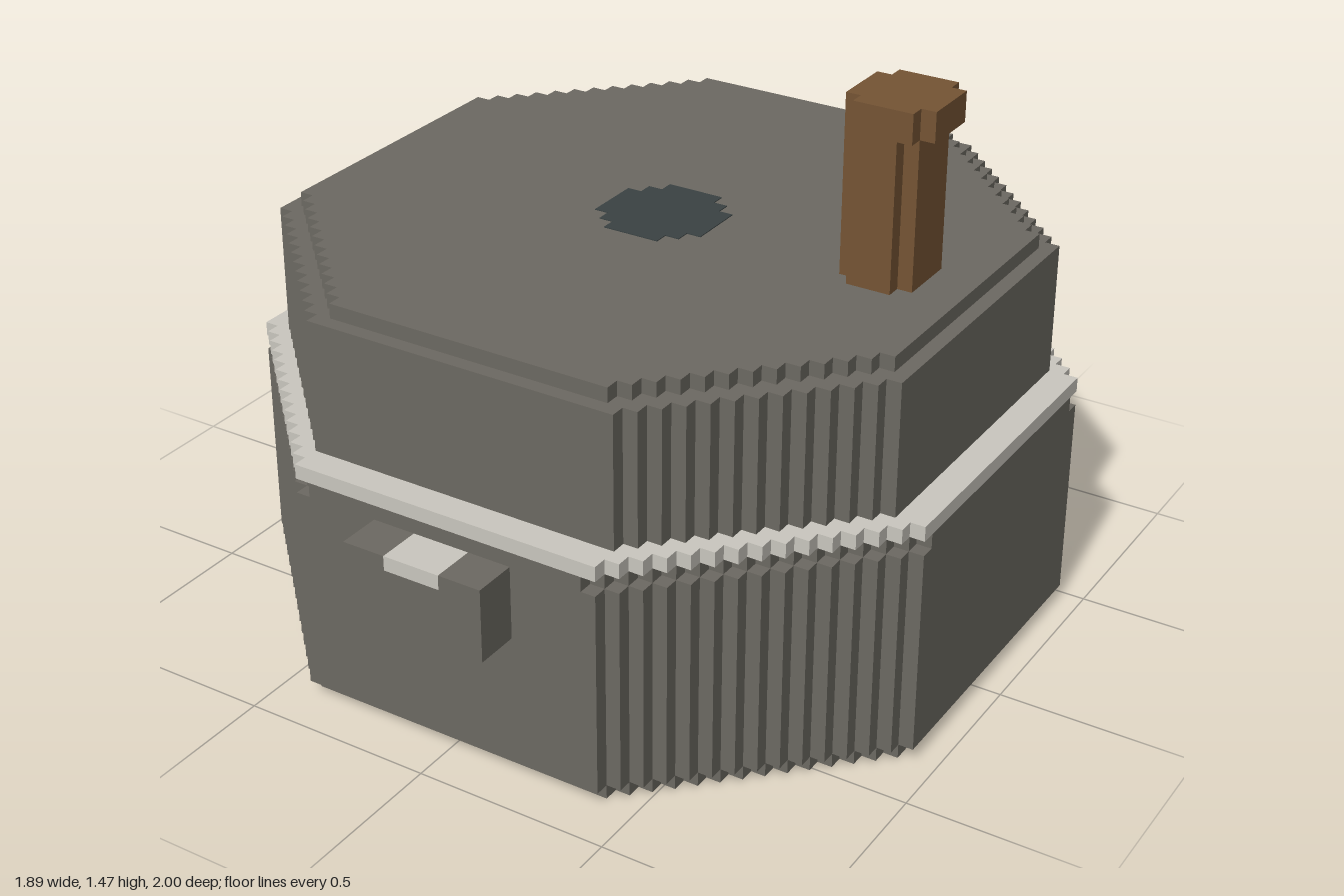
import * as THREE from 'three';

const U = 2 / 53;          // one block
const CZ = -1 + 25 * U;    // z of the body's axis

const flat = (name, color) => {
  const m = new THREE.MeshStandardMaterial({ color });
  m.name = name;
  return m;
};

// Octagon with stepped diagonals: half = half width, side = half length of a straight side (in blocks)
function steppedOctagon(half, side) {
  const quarter = [];
  for (let i = 0; i < half - side; i++) {
    quarter.push([half - i, side + i], [half - i - 1, side + i]);
  }
  quarter.push([side, half]);
  const points = [];
  for (let q = 0; q < 4; q++) {
    for (const [x, y] of quarter) {
      let p = [x, y];
      for (let r = 0; r < q; r++) p = [-p[1], p[0]];
      points.push(new THREE.Vector2(p[0] * U, p[1] * U));
    }
  }
  return new THREE.Shape(points);
}

export function createModel() {
  const group = new THREE.Group();
  const stone = flat('dark stone', 0x6c6962);
  const trim = flat('pale trim', 0xcac7bf);
  const wood = flat('brown wood', 0x755434);
  const slate = flat('dark slate', 0x3a4243);

  const add = (name, geometry, material, x, y, z) => {
    const mesh = new THREE.Mesh(geometry, material);
    mesh.name = name;
    mesh.position.set(x, y, z);
    group.add(mesh);
  };

  // Horizontal octagonal slab from block height y0 to y1
  const slab = (name, half, side, y0, y1, material, cx = 0) => {
    const g = new THREE.ExtrudeGeometry(steppedOctagon(half, side), {
      depth: (y1 - y0) * U, bevelEnabled: false,
    });
    g.rotateX(-Math.PI / 2);
    add(name, g, material, cx * U, y0 * U, CZ);
  };

  // Box between block coordinates, z measured from the body's axis
  const box = (name, x0, x1, y0, y1, z0, z1, material) => {
    const g = new THREE.BoxGeometry((x1 - x0) * U, (y1 - y0) * U, (z1 - z0) * U);
    add(name, g, material, (x0 + x1) / 2 * U, (y0 + y1) / 2 * U, CZ + (z0 + z1) / 2 * U);
  };

  // Lower body
  slab('baseFoot', 24, 11, 0, 1, stone);
  slab('lowerBody', 25, 11, 1, 15, stone);
  slab('rimRecess', 25, 10, 15, 16, stone);
  slab('rim', 25, 11, 16, 17, trim);

  // Upper body and lid
  slab('upperBody', 23, 11, 17, 26, stone);
  slab('lid', 22, 10, 26, 27, stone);
  slab('lidCentre', 4, 2, 26.95, 27.06, slate);

  // Handle post with overhanging cap
  box('postCore', 14, 19, 27, 37, -2, 2, wood);
  box('postSides', 15, 18, 27, 37, -3, 3, wood);
  slab('postCap', 3, 2, 37, 39, wood, 17);

  // Front latch block with pale inset
  box('latchBody', -5, 5, 10, 14, 25, 28, stone);
  box('latchRight', -5, -2, 14, 15, 25, 28, stone);
  box('latchLeft', 2, 5, 14, 15, 25, 28, stone);
  box('latchInset', -2, 2, 14, 15, 25, 28, trim);

  return group;
}
